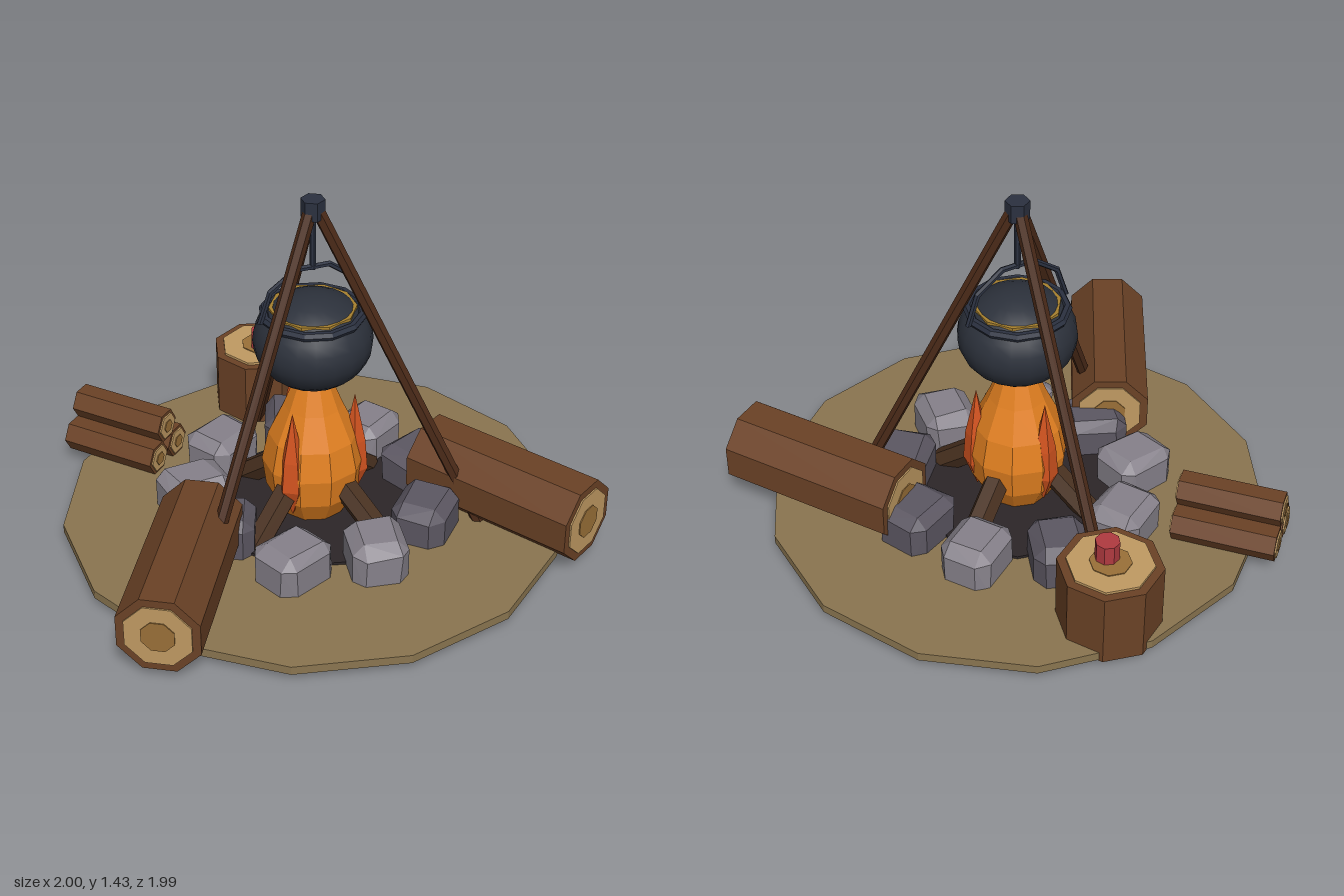
import * as THREE from 'three';
import { ConvexGeometry } from 'three/addons/geometries/ConvexGeometry.js';

const mat = (color, flatShading = true) =>
  new THREE.MeshStandardMaterial({ color, flatShading, side: THREE.DoubleSide });
const M = {
  dirt: mat(0x8a7550), ash: mat(0x2c2628), bark: mat(0x6b4226), darkBark: mat(0x48301f),
  wood: mat(0xc09a62), heart: mat(0x9a7038), pole: mat(0x4a2a18),
  stoneLight: mat(0x86818a), stoneDark: mat(0x5c5762),
  flame: mat(0xe07f20), ember: mat(0xd2531f),
  iron: mat(0x2c313b, false), ironFlat: mat(0x2b3140), stew: mat(0xa8812f), mug: mat(0xb03a40),
};

const V = (x, y, z) => new THREE.Vector3(x, y, z);

function add(parent, name, geometry, material, x = 0, y = 0, z = 0) {
  const mesh = new THREE.Mesh(geometry, material);
  mesh.name = name;
  mesh.position.set(x, y, z);
  parent.add(mesh);
  return mesh;
}

function group(parent, name) {
  const g = new THREE.Group();
  g.name = name;
  parent.add(g);
  return g;
}

const cyl = (rt, rb, h, n) => new THREE.CylinderGeometry(rt, rb, h, n);

// Log between two points: bark body with a pale disc and a darker heart on each end
function addLog(parent, name, a, b, r, sides, bark = M.bark) {
  const g = group(parent, name);
  const len = a.distanceTo(b);
  const lying = (rad, h) => cyl(rad, rad, h, sides).rotateY(Math.PI / sides).rotateX(Math.PI / 2);
  add(g, 'bark', lying(r, len), bark);
  add(g, 'cutWood', lying(r * 0.8, len + 0.012), M.wood);
  add(g, 'heartwood', lying(r * 0.4, len + 0.02), M.heart);
  g.position.copy(a).add(b).multiplyScalar(0.5);
  g.lookAt(b);
  return g;
}

// Straight round bar between two points
function addBar(parent, name, a, b, r, material) {
  const bar = add(parent, name, cyl(r, r, a.distanceTo(b), 6), material);
  bar.position.copy(a).add(b).multiplyScalar(0.5);
  bar.quaternion.setFromUnitVectors(V(0, 1, 0), b.clone().sub(a).normalize());
}

// Chamfered block with slightly uneven corners
function stoneGeometry(seed, sx, sy, sz) {
  let s = seed * 7919 + 17;
  const rnd = () => (s = (s * 16807) % 2147483647) / 2147483647;
  const pts = [];
  for (const x of [-1, 1]) for (const y of [-1, 1]) for (const z of [-1, 1])
    for (let axis = 0; axis < 3; axis++) {
      const k = 0.56 + 0.14 * rnd();
      pts.push(V(x * (axis === 0 ? 1 : k) * sx, y * (axis === 1 ? 1 : k) * sy, z * (axis === 2 ? 1 : k) * sz));
    }
  return new ConvexGeometry(pts);
}

export function createModel() {
  const model = new THREE.Group();
  model.name = 'campfire';

  // Ground
  add(model, 'ground', cyl(0.99, 0.99, 0.035, 14), M.dirt, 0, 0.0525, 0);
  add(model, 'ashBed', cyl(0.42, 0.42, 0.012, 12), M.ash, 0, 0.075, 0);

  // Ring of stones: x, z, yaw, light or dark
  const stones = group(model, 'stoneRing');
  [
    [-0.235, -0.42, 0.5, 1], [0.085, -0.465, 1.2, 0], [0.36, -0.31, 0.55, 1],
    [0.465, -0.03, 0.4, 0], [0.35, 0.305, 0.8, 0], [0.08, 0.455, 1.4, 1],
    [-0.235, 0.40, 0.4, 1], [-0.42, 0.11, -0.4, 0], [-0.44, -0.17, 0.15, 1],
  ].forEach(([x, z, yaw, light], i) => {
    const g = stoneGeometry(i + 1, 0.13, 0.108 + 0.006 * (i % 2), 0.11);
    add(stones, 'stone', g, light ? M.stoneLight : M.stoneDark, x, 0.115, z).rotation.y = yaw;
  });

  // Burning logs leaning to the middle
  const firewood = group(model, 'firewood');
  for (let i = 0; i < 4; i++) {
    const a = Math.PI / 3 + i * Math.PI / 2, c = Math.cos(a), s = Math.sin(a);
    addLog(firewood, 'burningLog', V(0.36 * c, 0.06, 0.36 * s), V(0.1 * c, 0.27, 0.1 * s), 0.052, 6, M.darkBark);
  }

  // Fire: main flame and three side tongues
  const fire = group(model, 'fire');
  const lathe = (pts, n) => new THREE.LatheGeometry(pts.map(([r, y]) => new THREE.Vector2(r, y)), n);
  add(fire, 'mainFlame', lathe([[0, 0.08], [0.13, 0.08], [0.185, 0.18], [0.2, 0.3], [0.175, 0.42],
    [0.115, 0.55], [0.068, 0.67], [0, 0.8]], 10), M.flame);
  const tongue = lathe([[0, 0.12], [0.055, 0.25], [0.045, 0.38], [0, 0.59]], 5);
  for (let i = 0; i < 3; i++) {
    const a = THREE.MathUtils.degToRad(20 + 120 * i);
    add(fire, 'flameTongue', tongue, M.ember, 0.162 * Math.cos(a), 0, 0.162 * Math.sin(a)).rotation.y = -a;
  }

  // Tripod
  const tripod = group(model, 'tripod');
  for (let i = 0; i < 3; i++) {
    const a = THREE.MathUtils.degToRad(30 + 120 * i), c = Math.cos(a), s = Math.sin(a);
    addBar(tripod, 'tripodLeg', V(0.66 * c, 0.06, 0.66 * s), V(0.015 * c, 1.39, 0.015 * s), 0.026, M.pole);
  }
  add(tripod, 'tripodCollar', cyl(0.046, 0.046, 0.075, 6), M.ironFlat, 0, 1.393, 0);
  addBar(tripod, 'hangingRod', V(0, 1.14, 0), V(0, 1.38, 0), 0.012, M.ironFlat);

  // Cooking pot
  const pot = group(model, 'cookingPot');
  add(pot, 'potBody', new THREE.SphereGeometry(0.23, 20, 14), M.iron, 0, 0.84, 0).scale.y = 0.82;
  add(pot, 'potRim', new THREE.TorusGeometry(0.188, 0.018, 6, 12).rotateX(Math.PI / 2), M.ironFlat, 0, 0.957, 0);
  add(pot, 'stew', cyl(0.167, 0.167, 0.012, 10), M.stew, 0, 0.975, 0);
  add(pot, 'potHandle', new THREE.TorusGeometry(0.21, 0.012, 6, 5, Math.PI), M.ironFlat, 0, 0.95, 0);

  // Seat logs
  addLog(model, 'seatLogRight', V(-0.485, 0.205, 0.085), V(-0.862, 0.205, 0.712), 0.168, 8);
  addLog(model, 'seatLogLeft', V(0.49, 0.205, 0.025), V(0.867, 0.205, 0.655), 0.168, 8);

  // Stump with a mug
  const stump = group(model, 'stump');
  stump.position.set(0.07, 0, -0.8);
  const body = group(stump, 'stumpBody');
  body.rotation.y = 0.12;
  add(body, 'stumpBark', cyl(0.2, 0.2, 0.305, 8), M.bark, 0, 0.1825, 0);
  add(body, 'stumpTop', cyl(0.165, 0.165, 0.012, 8), M.wood, 0, 0.339, 0);
  add(body, 'stumpHeart', cyl(0.08, 0.08, 0.006, 8), M.heart, 0, 0.346, 0);
  add(stump, 'mug', cyl(0.047, 0.047, 0.08, 8), M.mug, 0, 0.388, 0.025);

  // Small pile of spare logs
  const pile = group(model, 'logPile');
  const dir = V(0.66, 0, 0.75).multiplyScalar(0.205), side = V(0.75, 0, -0.66);
  for (const [off, y] of [[-0.072, 0.13], [0.072, 0.13], [0, 0.245]]) {
    const c = V(-0.583, y, -0.643).addScaledVector(side, off);
    addLog(pile, 'spareLog', c.clone().sub(dir), c.clone().add(dir), 0.07, 6);
  }

  return model;
}
